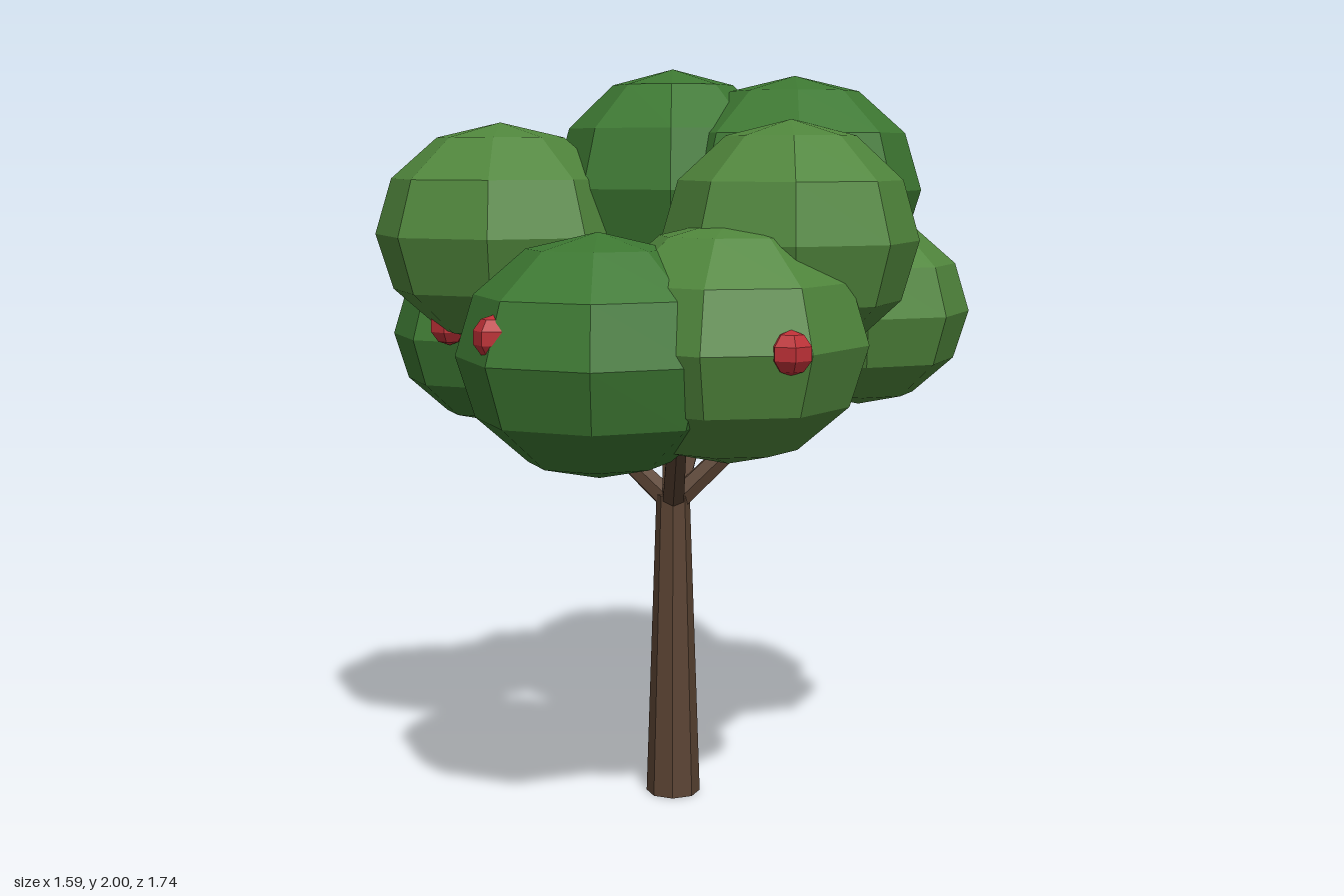
import * as THREE from 'three';

const material = (color) => new THREE.MeshStandardMaterial({ color, flatShading: true });

export function createModel() {
  const tree = new THREE.Group();
  tree.name = 'fruitTree';
  const bark = material(0x5a4333);
  const darkLeaf = material(0x3d7832);
  const lightLeaf = material(0x50863c);
  const red = material(0xbc3036);

  // Tapered limb between two points
  function limb(name, from, to, r0, r1, sides) {
    const a = new THREE.Vector3(...from);
    const b = new THREE.Vector3(...to);
    const dir = b.clone().sub(a);
    const mesh = new THREE.Mesh(new THREE.CylinderGeometry(r1, r0, dir.length(), sides), bark);
    mesh.position.copy(a).add(b).multiplyScalar(0.5);
    mesh.quaternion.setFromUnitVectors(new THREE.Vector3(0, 1, 0), dir.normalize());
    mesh.name = name;
    tree.add(mesh);
  }

  // Trunk and branches
  limb('trunk', [0, 0, -0.05], [0, 0.85, -0.05], 0.075, 0.046, 8);
  const branchTips = [
    [0, 1.55, -0.05],
    [0.42, 1.23, -0.08],
    [0.03, 1.25, 0.37],
    [0.16, 1.35, -0.42],
    [-0.3, 1.07, -0.27],
  ];
  for (const tip of branchTips) limb('branch', [0, 0.825, -0.05], tip, 0.034, 0.024, 6);

  // Leaf clumps: x, y, z, radius, height radius, turn, light or dark
  const clumps = [
    [-0.45, 1.57, 0.07, 0.335, 0.29, 0, lightLeaf],
    [0.32, 1.685, 0.05, 0.335, 0.295, 0, darkLeaf],
    [0, 1.69, -0.03, 0.32, 0.31, 0, darkLeaf],
    [0.18, 1.53, -0.54, 0.335, 0.285, -0.07, darkLeaf],
    [-0.18, 1.14, -0.515, 0.34, 0.3, -0.05, lightLeaf],
    [-0.49, 1.285, -0.16, 0.29, 0.25, 0, darkLeaf],
    [-0.37, 1.19, -0.35, 0.28, 0.25, 0.45, darkLeaf],
    [0.505, 1.36, -0.04, 0.295, 0.255, 0, lightLeaf],
    [0.48, 1.33, -0.3, 0.285, 0.26, 0, lightLeaf],
    [-0.17, 1.295, 0.515, 0.35, 0.3, 0, darkLeaf],
    [0.145, 1.325, 0.475, 0.345, 0.3, -0.2, lightLeaf],
    [0.3, 1.565, 0.31, 0.325, 0.3, 0, lightLeaf],
  ];
  for (const [x, y, z, r, h, turn, leaf] of clumps) {
    const clump = new THREE.Mesh(new THREE.SphereGeometry(1, 8, 6), leaf);
    clump.scale.set(r, h, r);
    clump.rotation.y = turn;
    clump.position.set(x, y, z);
    clump.name = 'leafClump';
    tree.add(clump);
  }

  // Fruit
  const fruitSpots = [
    [-0.4, 1.36, 0.71],
    [0.285, 1.33, 0.755],
    [-0.59, 1.33, 0.09],
    [-0.4, 1.02, -0.1],
    [-0.38, 1.49, -0.23],
    [0.34, 1.51, -0.21],
    [0.41, 1.32, -0.64],
    [0.11, 1.14, -0.29],
  ];
  fruitSpots.forEach(([x, y, z], i) => {
    const fruit = new THREE.Mesh(new THREE.SphereGeometry(0.053, 6, 5), red);
    fruit.position.set(x, y, z);
    fruit.rotation.y = i * 0.7;
    fruit.name = 'fruit';
    tree.add(fruit);
  });

  return tree;
}
